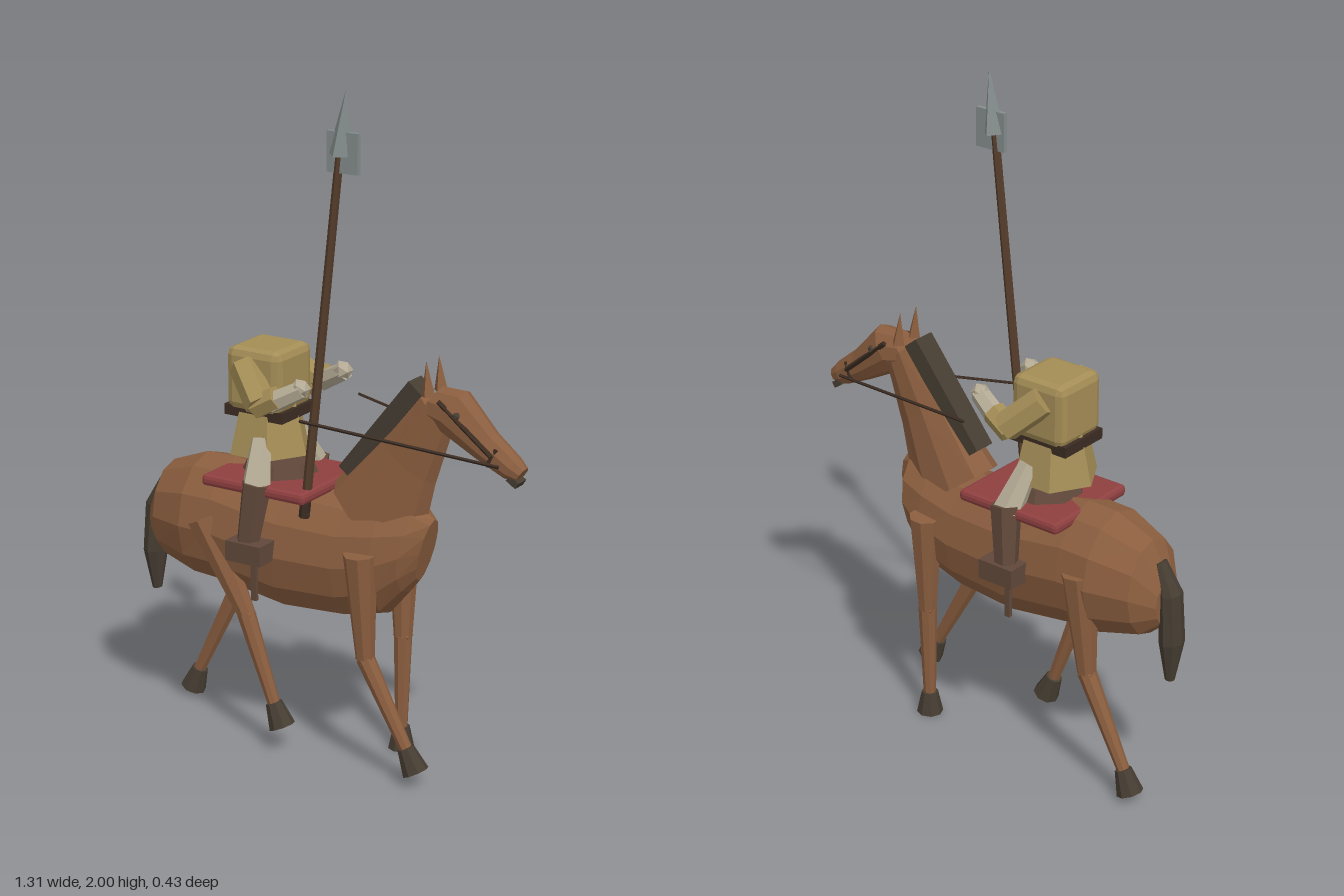
import * as THREE from 'three';
import { RoundedBoxGeometry } from 'three/addons/geometries/RoundedBoxGeometry.js';

const mat = (name, color) => {
  const m = new THREE.MeshStandardMaterial({ color, flatShading: true });
  m.name = name;
  return m;
};

export function createModel() {
  const coat = mat('chestnut coat', 0x8b5e3f);
  const dark = mat('dark hair and hoof', 0x463d32);
  const leather = mat('brown leather', 0x60483a);
  const strap = mat('dark strap', 0x3b2c22);
  const wood = mat('lance wood', 0x553d2b);
  const red = mat('red cloth', 0x8f4040);
  const tan = mat('tan tunic', 0xa48d56);
  const pale = mat('pale linen', 0xb5ab95);
  const steel = mat('steel', 0x848c8c);

  const root = new THREE.Group();
  root.name = 'mountedRider';
  const horse = new THREE.Group();
  horse.name = 'horse';
  const tack = new THREE.Group();
  tack.name = 'tack';
  const rider = new THREE.Group();
  rider.name = 'rider';
  const lance = new THREE.Group();
  lance.name = 'lance';
  root.add(horse, tack, rider, lance);

  const add = (parent, name, geo, material, pos = [0, 0, 0]) => {
    const m = new THREE.Mesh(geo, material);
    m.name = name;
    m.position.set(...pos);
    parent.add(m);
    return m;
  };
  const box = (parent, name, size, pos, material) =>
    add(parent, name, new THREE.BoxGeometry(...size), material, pos);

  // Tapered rod from a to b
  const rod = (parent, name, a, b, ra, rb, material, sides = 6) => {
    const A = new THREE.Vector3(...a), B = new THREE.Vector3(...b);
    const d = B.clone().sub(A);
    const m = add(parent, name, new THREE.CylinderGeometry(rb, ra, d.length(), sides), material);
    m.position.copy(A).add(B).multiplyScalar(0.5);
    m.quaternion.setFromUnitVectors(new THREE.Vector3(0, 1, 0), d.normalize());
    return m;
  };

  // Closed skin over elliptical rings [x, y, heightRadius, widthRadius, tilt]
  const loft = (rings, n = 10) => {
    const pos = [], idx = [];
    for (const [x, y, ry, rz, t = 0] of rings) {
      for (let k = 0; k < n; k++) {
        const a = (k / n) * Math.PI * 2, h = ry * Math.cos(a);
        pos.push(x - Math.sin(t) * h, y + Math.cos(t) * h, rz * Math.sin(a));
      }
    }
    const last = (rings.length - 1) * n, c0 = rings.length * n, c1 = c0 + 1;
    const end = rings[rings.length - 1];
    pos.push(rings[0][0], rings[0][1], 0, end[0], end[1], 0);
    for (let k = 0; k < n; k++) {
      const k1 = (k + 1) % n;
      for (let i = 0; i < last; i += n) {
        idx.push(i + k, i + k1, i + n + k, i + k1, i + n + k1, i + n + k);
      }
      idx.push(c0, k1, k, c1, last + k, last + k1);
    }
    const g = new THREE.BufferGeometry();
    g.setAttribute('position', new THREE.Float32BufferAttribute(pos, 3));
    g.setIndex(idx);
    g.computeVertexNormals();
    return g;
  };

  // Horse trunk, neck, head
  add(horse, 'body', loft([
    [-0.6, 0.62, 0.07, 0.055], [-0.545, 0.65, 0.15, 0.115], [-0.42, 0.657, 0.19, 0.158],
    [-0.32, 0.655, 0.195, 0.157], [-0.1, 0.62, 0.195, 0.15], [0.1, 0.622, 0.185, 0.138],
    [0.22, 0.645, 0.175, 0.125], [0.3, 0.68, 0.135, 0.1, -0.12], [0.34, 0.685, 0.1, 0.045, -0.25],
  ], 12), coat);
  add(horse, 'neck', loft([
    [0.17, 0.74, 0.17, 0.09, 0.95], [0.28, 0.95, 0.105, 0.06, 0.95], [0.37, 1.12, 0.07, 0.047, 0.95],
  ]), coat);
  add(horse, 'head', loft([
    [0.35, 1.125, 0.065, 0.045, -0.58], [0.42, 1.115, 0.075, 0.056, -0.58],
    [0.53, 1.03, 0.05, 0.043, -0.58], [0.61, 0.98, 0.038, 0.036, -0.58],
    [0.64, 0.965, 0.025, 0.026, -0.58],
  ]), coat);
  const mouth = box(horse, 'mouth', [0.035, 0.02, 0.045], [0.622, 0.947, 0], dark);
  mouth.rotation.z = -0.58;
  const mane = box(horse, 'mane', [0.37, 0.055, 0.07], [0.2, 1.025, 0], dark);
  mane.rotation.z = 0.9;
  add(horse, 'tail', loft([
    [-0.575, 0.74, 0.015, 0.02, -2.1], [-0.61, 0.65, 0.035, 0.038, -1.75],
    [-0.62, 0.5, 0.035, 0.042, -1.6], [-0.617, 0.375, 0.014, 0.016, -1.5],
  ], 8), dark);

  // Legs: hip, knee, ankle, hoof sole as [x, y], then side and top radius
  const legs = [
    ['leftHindLeg', [-0.35, 0.69], [-0.215, 0.41], [-0.12, 0.145], [-0.09, 0.075], 1, 0.055],
    ['rightHindLeg', [-0.38, 0.69], [-0.4, 0.365], [-0.535, 0.09], [-0.562, 0.02], -1, 0.055],
    ['leftForeleg', [0.19, 0.68], [0.2, 0.36], [0.337, 0.11], [0.372, 0.042], 1, 0.05],
    ['rightForeleg', [0.19, 0.68], [0.2, 0.36], [0.198, 0.07], [0.198, 0], -1, 0.05],
  ];
  for (const [name, hip, knee, ankle, sole, s, r] of legs) {
    const g = new THREE.Group();
    g.name = name;
    horse.add(g);
    const at = (p, z) => [p[0], p[1], s * z];
    rod(g, 'upperLeg', at(hip, 0.12), at(knee, 0.105), r, 0.028, coat, 8);
    add(g, 'knee', new THREE.IcosahedronGeometry(0.03, 0), coat, at(knee, 0.105));
    rod(g, 'lowerLeg', at(knee, 0.105), at(ankle, 0.103), 0.028, 0.019, coat, 8);
    rod(g, 'hoof', at(sole, 0.103), at(ankle, 0.103), 0.04, 0.025, dark, 8);
  }

  // Cloth and saddle
  add(tack, 'saddleCloth', new RoundedBoxGeometry(0.355, 0.035, 0.33, 1, 0.012), red, [-0.152, 0.82, 0]);
  const saddle = add(tack, 'saddle', new THREE.CylinderGeometry(0.095, 0.115, 0.04, 8), leather, [-0.16, 0.853, 0]);
  saddle.rotation.y = Math.PI / 8;

  // Skirted tunic
  add(rider, 'torso', new RoundedBoxGeometry(0.185, 0.19, 0.185, 1, 0.025), tan, [-0.198, 1.12, 0]);
  const skirt = add(rider, 'tunicSkirt', new THREE.CylinderGeometry(0.09, 0.128, 0.16, 6), tan, [-0.198, 0.975, 0]);
  skirt.rotation.y = Math.PI / 2;
  box(rider, 'belt', [0.2, 0.032, 0.17], [-0.198, 1.022, 0], strap);

  // Paired parts
  for (const s of [1, -1]) {
    const side = s > 0 ? 'left' : 'right';
    const p = (x, y, z) => [x, y, s * z];

    const ear = add(horse, side + 'Ear', new THREE.ConeGeometry(0.022, 0.1, 4), coat, p(0.355, 1.205, 0.035));
    ear.rotation.z = 0.08;
    add(horse, side + 'Eye', new THREE.IcosahedronGeometry(0.013, 0), dark, p(0.455, 1.115, 0.046));

    rod(tack, side + 'Rein', p(0.01, 1.055, 0.158), p(0.59, 0.99, 0.043), 0.005, 0.005, strap, 4);
    rod(tack, side + 'CheekStrap', p(0.4, 1.15, 0.052), p(0.565, 1.015, 0.042), 0.008, 0.008, strap, 4);
    rod(tack, side + 'NoseBand', p(0.575, 1.035, 0.03), p(0.55, 0.985, 0.038), 0.007, 0.007, strap, 4);
    box(tack, side + 'GirthStrap', [0.018, 0.32, 0.012], p(-0.15, 0.64, 0.155), leather);

    rod(rider, side + 'Sleeve', p(-0.225, 1.165, 0.09), p(-0.13, 1.075, 0.145), 0.045, 0.045, tan);
    rod(rider, side + 'Cuff', p(-0.15, 1.065, 0.143), p(-0.08, 1.105, 0.135), 0.036, 0.036, tan);
    rod(rider, side + 'Forearm', p(-0.1, 1.085, 0.137), p(-0.01, 1.133, 0.112), 0.032, 0.028, pale);
    add(rider, side + 'Hand', new THREE.IcosahedronGeometry(0.03, 0), pale, p(-0.015, 1.135, 0.112));

    rod(rider, side + 'Thigh', p(-0.17, 0.95, 0.085), p(-0.145, 0.82, 0.15), 0.03, 0.045, pale);
    rod(rider, side + 'Shin', p(-0.14, 0.84, 0.152), p(-0.16, 0.65, 0.175), 0.046, 0.034, leather);
    box(rider, side + 'Boot', [0.12, 0.06, 0.105], p(-0.15, 0.642, 0.163), leather);
  }

  // Lance
  const z = 0.107;
  rod(lance, 'shaft', [-0.005, 0.76, z], [0.113, 1.84, z], 0.014, 0.012, wood);
  rod(lance, 'buttCap', [-0.008, 0.75, z], [-0.002, 0.8, z], 0.016, 0.016, strap);
  rod(lance, 'point', [0.112, 1.82, z], [0.132, 2, z], 0.037, 0.001, steel, 4);
  box(lance, 'bladePlate', [0.1, 0.115, 0.014], [0.124, 1.828, z], steel);

  return root;
}
